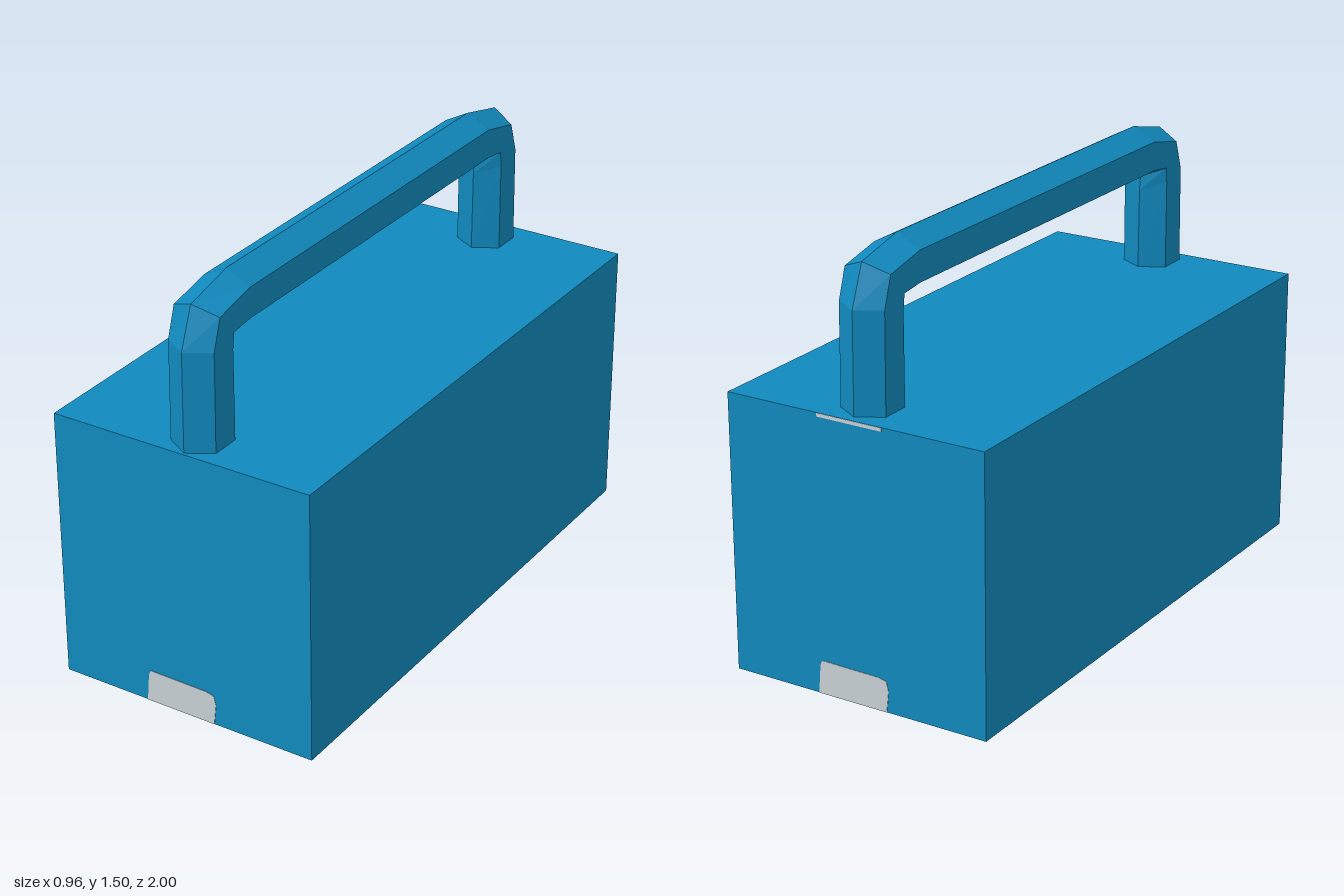
import * as THREE from 'three';

const blue = new THREE.MeshStandardMaterial({ color: 0x1089bd });
blue.name = 'blue paint';
const grey = new THREE.MeshStandardMaterial({ color: 0xc8d1d4 });
grey.name = 'pale grey';

// Hexagonal bar swept through cross-sections, with flat faces
function handleGeometry() {
  const cx = 0.015, halfWidth = 0.085, midZ = 0.01;
  // Each section as [z, y]: outer ridge, outer side, inner side, inner ridge
  const half = [
    [[0.99, 0.93], [0.94, 0.93], [0.835, 0.93], [0.787, 0.93]],
    [[0.985, 1.31], [0.935, 1.31], [0.835, 1.28], [0.79, 1.25]],
    [[0.93, 1.45], [0.9, 1.415], [0.828, 1.335], [0.795, 1.298]],
    [[0.74, 1.495], [0.74, 1.45], [0.74, 1.345], [0.74, 1.298]],
  ];
  const mirrored = half.map(s => s.map(([z, y]) => [2 * midZ - z, y])).reverse();
  const rings = [...half, ...mirrored].map(([o, os, is, i]) => [
    [0, o], [1, os], [1, is], [0, i], [-1, is], [-1, os],
  ].map(([side, [z, y]]) => [cx + side * halfWidth, y, z]));

  const pos = [];
  for (let r = 0; r < rings.length - 1; r++) {
    for (let j = 0; j < 6; j++) {
      const k = (j + 1) % 6;
      const a = rings[r][j], b = rings[r][k], c = rings[r + 1][k], d = rings[r + 1][j];
      pos.push(...a, ...b, ...c, ...a, ...c, ...d);
    }
  }
  const geometry = new THREE.BufferGeometry();
  geometry.setAttribute('position', new THREE.Float32BufferAttribute(pos, 3));
  geometry.computeVertexNormals();
  return geometry;
}

// Thin plate lying on an end face, from outline points
function plate(name, points) {
  const shape = new THREE.Shape(points.map(([x, y]) => new THREE.Vector2(x, y)));
  const geometry = new THREE.ExtrudeGeometry(shape, { depth: 0.003, bevelEnabled: false });
  geometry.translate(0, 0, 0.997);
  const mesh = new THREE.Mesh(geometry, grey);
  mesh.name = name;
  return mesh;
}

export function createModel() {
  const model = new THREE.Group();
  model.name = 'carryBox';

  // Body
  const body = new THREE.Mesh(new THREE.BoxGeometry(0.96, 0.966, 1.997), blue);
  body.name = 'body';
  body.position.y = 0.483;
  model.add(body);

  // Carrying handle
  const handle = new THREE.Mesh(handleGeometry(), blue);
  handle.name = 'handle';
  model.add(handle);

  // Bottom catch plates on both ends
  const outline = [[-0.155, 0], [0.108, 0], [0.116, 0.075], [0.108, 0.108], [0.08, 0.115], [-0.14, 0.117], [-0.147, 0.1]];
  model.add(plate('frontCatch', outline));
  const backCatch = plate('backCatch', outline);
  backCatch.rotation.y = Math.PI;
  model.add(backCatch);

  // Slim plate under the back top edge
  const backLip = plate('backTopLip', [[-0.135, 0.953], [0.108, 0.953], [0.108, 0.965], [-0.135, 0.965]]);
  backLip.rotation.y = Math.PI;
  model.add(backLip);

  return model;
}
